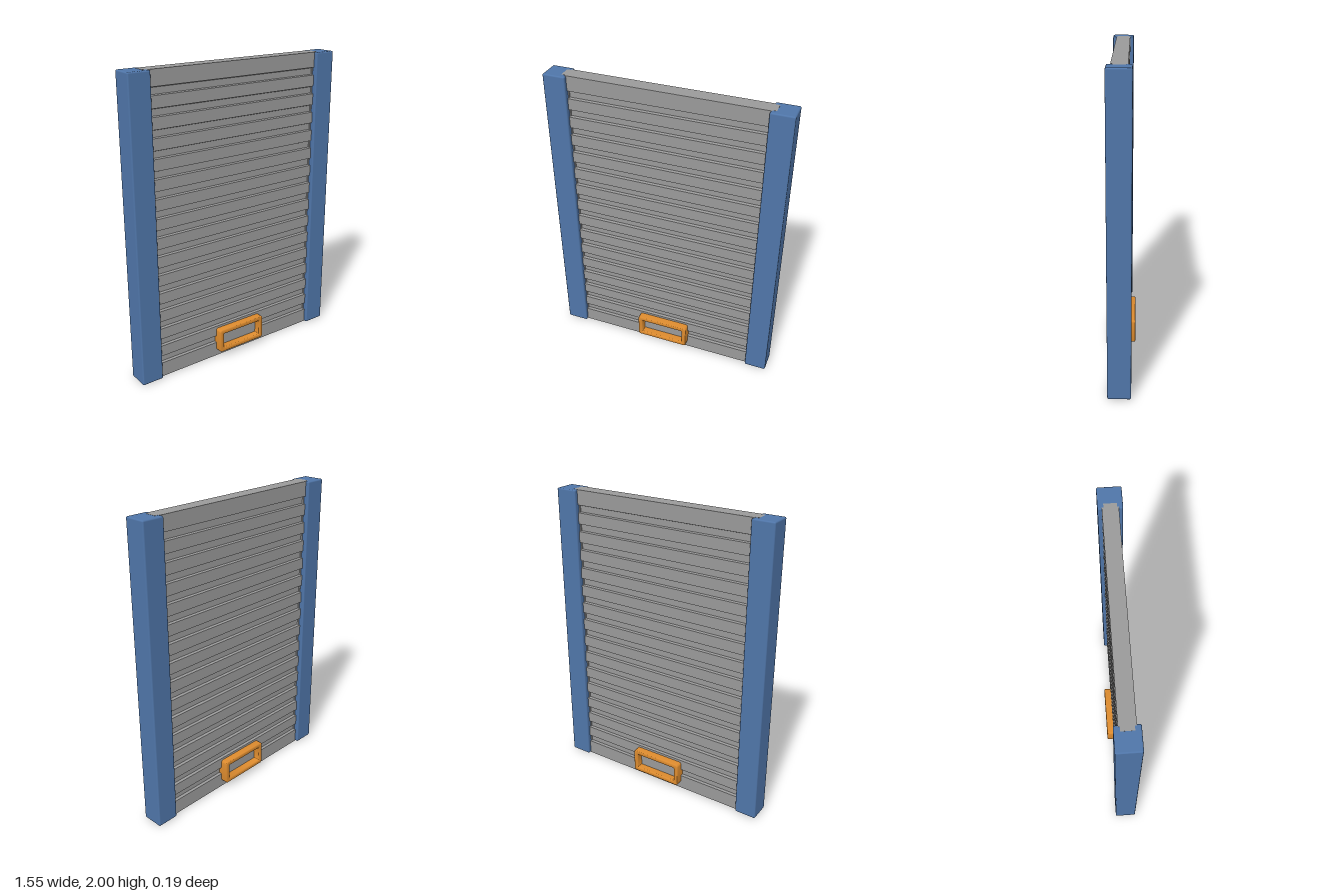
import * as THREE from 'three';
import { RoundedBoxGeometry } from 'three/addons/geometries/RoundedBoxGeometry.js';
import { toCreasedNormals } from 'three/addons/utils/BufferGeometryUtils.js';

const steel = new THREE.MeshStandardMaterial({ name: 'grey steel', color: 0x999999 });
const blue = new THREE.MeshStandardMaterial({ name: 'blue paint', color: 0x4f75a8 });
const orange = new THREE.MeshStandardMaterial({ name: 'orange paint', color: 0xdb8a2e });

const HEIGHT = 2;
const SLATS = 16;
const FACE = 0.048; // half thickness at the slat faces
const FLOOR = 0.028; // half thickness at the groove floors

function add(group, name, geometry, material, x = 0, y = 0, z = 0) {
  const mesh = new THREE.Mesh(geometry, material);
  mesh.name = name;
  mesh.position.set(x, y, z);
  group.add(mesh);
  return mesh;
}

// Ribbed side profile, grooved on both faces, extruded across the doorway
function curtainGeometry(width) {
  const pitch = HEIGHT / SLATS;
  const edge = [[FACE, 0]];
  for (let i = 1; i < SLATS; i++) {
    const y = i * pitch;
    edge.push([FACE, y - 0.025], [FLOOR, y - 0.022], [FLOOR, y + 0.019], [FACE, y + 0.026]);
  }
  edge.push([FACE, HEIGHT]);
  const back = edge.map(([z, y]) => [-z, y]).reverse();
  const shape = new THREE.Shape([...edge, ...back].map(([z, y]) => new THREE.Vector2(z, y)));
  const geometry = new THREE.ExtrudeGeometry(shape, { depth: width, bevelEnabled: false });
  geometry.translate(0, 0, -width / 2);
  geometry.rotateY(Math.PI / 2);
  return geometry;
}

function roundedRect(path, w, h, r) {
  const x = w / 2 - r, y = h / 2 - r;
  path.absarc(x, y, r, 0, Math.PI / 2);
  path.absarc(-x, y, r, Math.PI / 2, Math.PI);
  path.absarc(-x, -y, r, Math.PI, Math.PI * 1.5);
  path.absarc(x, -y, r, Math.PI * 1.5, Math.PI * 2);
  path.closePath();
  return path;
}

// Rectangular grip frame with softened edges, passing through the curtain
function handleGeometry() {
  const bevel = 0.008, depth = 0.194;
  const shape = roundedRect(new THREE.Shape(), 0.366 - 2 * bevel, 0.168 - 2 * bevel, 0.01);
  shape.holes.push(roundedRect(new THREE.Path(), 0.302 + 2 * bevel, 0.104 + 2 * bevel, 0.012));
  const geometry = new THREE.ExtrudeGeometry(shape, {
    depth: depth - 2 * bevel, bevelThickness: bevel, bevelSize: bevel, bevelSegments: 3, curveSegments: 4,
  });
  geometry.translate(0, 0, bevel - depth / 2);
  return toCreasedNormals(geometry, 0.7);
}

export function createModel() {
  const group = new THREE.Group();
  group.name = 'rollerShutter';

  add(group, 'slattedCurtain', curtainGeometry(1.27), steel);

  // Guide posts, with the curtain's tongue running into each
  for (const [side, name] of [[1, 'left'], [-1, 'right']]) {
    add(group, name + 'GuidePost', new RoundedBoxGeometry(0.147, 1.998, 0.145, 3, 0.009), blue,
      side * 0.6995, 1);
    add(group, name + 'CurtainTongue', new THREE.BoxGeometry(0.04, HEIGHT, 0.076), steel, side * 0.64, 1);
  }

  // Pull handle on both faces, around a flat backing plate
  add(group, 'pullHandle', handleGeometry(), orange, 0, 0.125);
  add(group, 'handleBackingPlate', new THREE.BoxGeometry(0.32, 0.12, 2 * FACE + 0.002), steel, 0, 0.125);

  return group;
}
